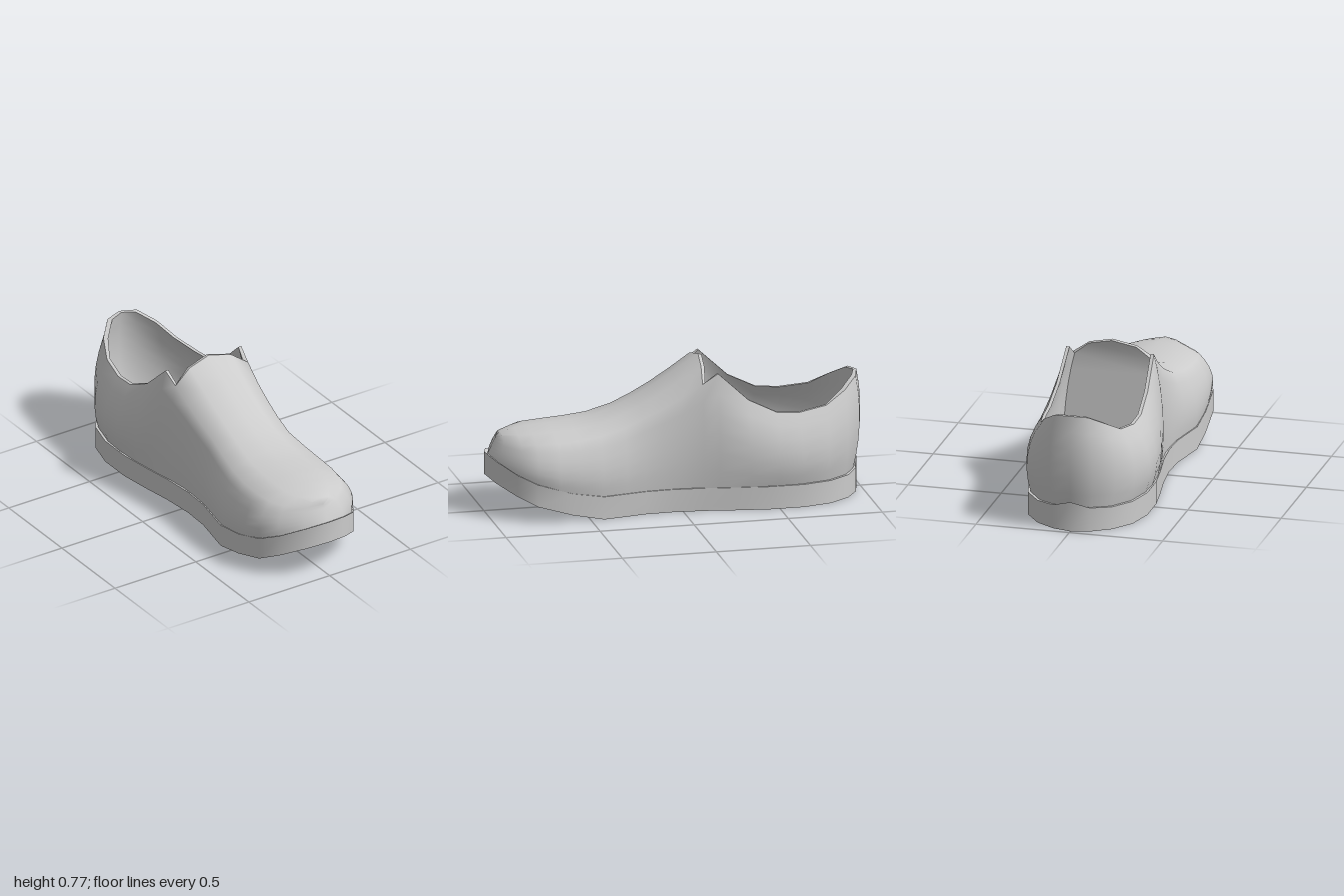
import * as THREE from 'three';
import { toCreasedNormals } from 'three/addons/utils/BufferGeometryUtils.js';

const V = (x, y, z) => new THREE.Vector3(x, y, z);
const mirror = (p) => V(-p.x, p.y, p.z);

// Skin a list of equal-length cross-sections, optionally skipping quads
function loft(sections, { closed = false, skip = () => false, crease = 0.7 } = {}) {
  const n = sections[0].length;
  const pos = [];
  const tri = (a, b, c) => {
    const area = b.clone().sub(a).cross(c.clone().sub(a)).length();
    if (area > 1e-7) for (const p of [a, b, c]) pos.push(p.x, p.y, p.z);
  };
  for (let i = 0; i < sections.length - 1; i++) {
    for (let j = 0; j < (closed ? n : n - 1); j++) {
      if (skip(i, j)) continue;
      const k = (j + 1) % n;
      const a = sections[i][j], b = sections[i][k];
      const c = sections[i + 1][k], d = sections[i + 1][j];
      tri(a, d, c);
      tri(a, c, b);
    }
  }
  const geo = new THREE.BufferGeometry();
  geo.setAttribute('position', new THREE.Float32BufferAttribute(pos, 3));
  return toCreasedNormals(geo, crease);
}

// Piecewise linear lookup
function lookup(table, v) {
  for (let i = 1; i < table.length; i++) {
    const [a, ya] = table[i - 1], [b, yb] = table[i];
    if (v <= b) return THREE.MathUtils.mapLinear(Math.max(v, a), a, b, ya, yb);
  }
  return table[table.length - 1][1];
}

const soleTop = (z) => lookup([[-0.98, 0.16], [-0.95, 0.122], [0.45, 0.122], [0.68, 0.165], [0.87, 0.245], [1, 0.32]], z);
const soleBottom = (z) => lookup([[0.46, 0], [0.66, 0.05], [0.8, 0.095], [0.9, 0.145], [1, 0.2]], z);

// Half outline of the sole, toe to heel: x, z
const SOLE = [[0, 1], [0.12, 0.965], [0.23, 0.875], [0.292, 0.78], [0.3, 0.6], [0.3, 0.43], [0.257, 0.2], [0.252, 0.05],
  [0.268, -0.12], [0.295, -0.28], [0.318, -0.45], [0.318, -0.63], [0.28, -0.78], [0.2, -0.89], [0.1, -0.955], [0, -0.98]];

// Upper stations, toe to heel: z, half widths (base, middle, rim), rim y, z lean, z bulge
const FRONT = [
  [0.985, 0, 0, 0, 0.39, -0.045, 0], [0.955, 0.115, 0.115, 0.09, 0.39, -0.04, 0],
  [0.87, 0.222, 0.22, 0.175, 0.392, -0.03, 0], [0.78, 0.28, 0.285, 0.22, 0.4, -0.01, 0],
  [0.66, 0.293, 0.295, 0.235, 0.405, 0, 0], [0.55, 0.295, 0.298, 0.235, 0.41, 0, 0],
  [0.43, 0.292, 0.29, 0.225, 0.425, 0, 0], [0.3, 0.268, 0.268, 0.208, 0.455, 0, 0],
  [0.2, 0.25, 0.25, 0.205, 0.5, 0, 0], [0.1, 0.245, 0.247, 0.21, 0.545, 0, 0],
  [0, 0.245, 0.25, 0.215, 0.6, 0, 0], [-0.11, 0.258, 0.265, 0.225, 0.67, 0, 0]];
const REAR = [
  [-0.19, 0.275, 0.283, 0.235, 0.725, 0, 0], [-0.35, 0.298, 0.315, 0.245, 0.575, 0, 0],
  [-0.5, 0.308, 0.33, 0.25, 0.5, 0, 0], [-0.62, 0.303, 0.328, 0.245, 0.49, 0, 0],
  [-0.77, 0.265, 0.288, 0.215, 0.51, 0, 0], [-0.875, 0.19, 0.215, 0.165, 0.57, -0.005, -0.01],
  [-0.935, 0.1, 0.115, 0.09, 0.622, -0.02, -0.025], [-0.955, 0, 0, 0, 0.63, -0.025, -0.032]];
const CROWN = [0.4, 0.424, 0.437, 0.447, 0.453, 0.461, 0.476, 0.52, 0.566, 0.622, 0.685, 0.77];
const ROWS = 7;      // points up each side wall
const FLOOR = 0.19;  // inside floor height
const THICK = 0.018;

// Point on the +x wall of a station, t from sole to rim
function wall([z, base, mid, rim, top, lean, bulge], t) {
  const arc = 4 * t * (1 - t);
  const x = base * (1 - t) * (1 - 2 * t) + mid * arc + rim * t * (2 * t - 1);
  return V(x, THREE.MathUtils.lerp(soleTop(z) - 0.012, top, t), z + lean * t + bulge * arc);
}

// Whole arch of a station: +x wall, crown, -x wall
function arch(st, i) {
  const half = Array.from({ length: ROWS }, (_, r) => wall(st, r / (ROWS - 1)));
  const rim = half[ROWS - 1];
  const peak = CROWN[i] ?? rim.y;
  const tip = i === FRONT.length - 1 ? -0.028 : 0;
  half.push(V(rim.x * 0.57, THREE.MathUtils.lerp(rim.y, peak, 0.7), rim.z + tip * 0.5));
  return [...half, V(0, peak, rim.z + tip), ...half.map(mirror).reverse()];
}

// Inner wall of a rear station, from floor to rim
function innerWall(st, i) {
  const low = soleTop(st[0]) - 0.012;
  return Array.from({ length: ROWS }, (_, r) => {
    const k = r / (ROWS - 1);
    const y = THREE.MathUtils.lerp(FLOOR, st[4], k);
    const p = wall(st, (y - low) / (st[4] - low));
    p.x = Math.max(0, p.x - THICK);
    if (st[0] < -0.85) p.z += THICK;
    if (i === 0) p.z -= THICK + 0.065 * (1 - k); // sloping front wall
    return p;
  });
}

export function createModel() {
  const group = new THREE.Group();
  const material = new THREE.MeshStandardMaterial({ color: 0xcccccc, side: THREE.DoubleSide });
  const add = (name, geo) => {
    const mesh = new THREE.Mesh(geo, material);
    mesh.name = name;
    group.add(mesh);
  };

  // Sole with upturned toe
  add('sole', loft(SOLE.map(([x, z]) => {
    const b = V(x, soleBottom(z), z), t = V(x, soleTop(z), z);
    return [b, t, mirror(t), mirror(b)];
  }), { closed: true, crease: 0.6 }));

  // Upper: closed arches in front, open between the rims behind
  const last = FRONT.length - 1;
  const arches = [...FRONT, ...REAR].map(arch);
  const open = (i, j) => i >= last && j >= ROWS - 1 && j < ROWS + 3;
  add('upper', loft(arches, { skip: open, crease: 1.1 }));

  // Lining of the foot opening with its floor
  const inner = [FRONT[last], ...REAR].map(innerWall);
  add('lining', loft(inner.map((w) => [
    ...w.map(mirror).reverse(), V(0, FLOOR, w[0].z), ...w,
  ]), { crease: 0.9 }));

  // Inside front wall beneath the tongue
  const tongue = arches[last].slice(ROWS, ROWS + 2).map((p) => V(p.x, p.y - 0.004, p.z - THICK));
  const rows = [tongue[1], tongue[0], ...inner[0].slice().reverse()];
  add('tongueLining', loft(rows.map((p) => [p, mirror(p)])));

  // Collar edge around the opening
  const side = inner.map((w, i) => [arches[last + i][ROWS - 1], w[ROWS - 1]]);
  const otherSide = side.slice(0, -1).reverse().map((s) => s.map(mirror));
  add('collarEdge', loft([...side, ...otherSide]));

  // Tongue edge
  const halfEdge = [side[0], [arches[last][ROWS], tongue[0]], [arches[last][ROWS + 1], tongue[1]]];
  add('tongueEdge', loft([...halfEdge.map((s) => s.map(mirror)), ...halfEdge.slice(0, -1).reverse()]));

  return group;
}
